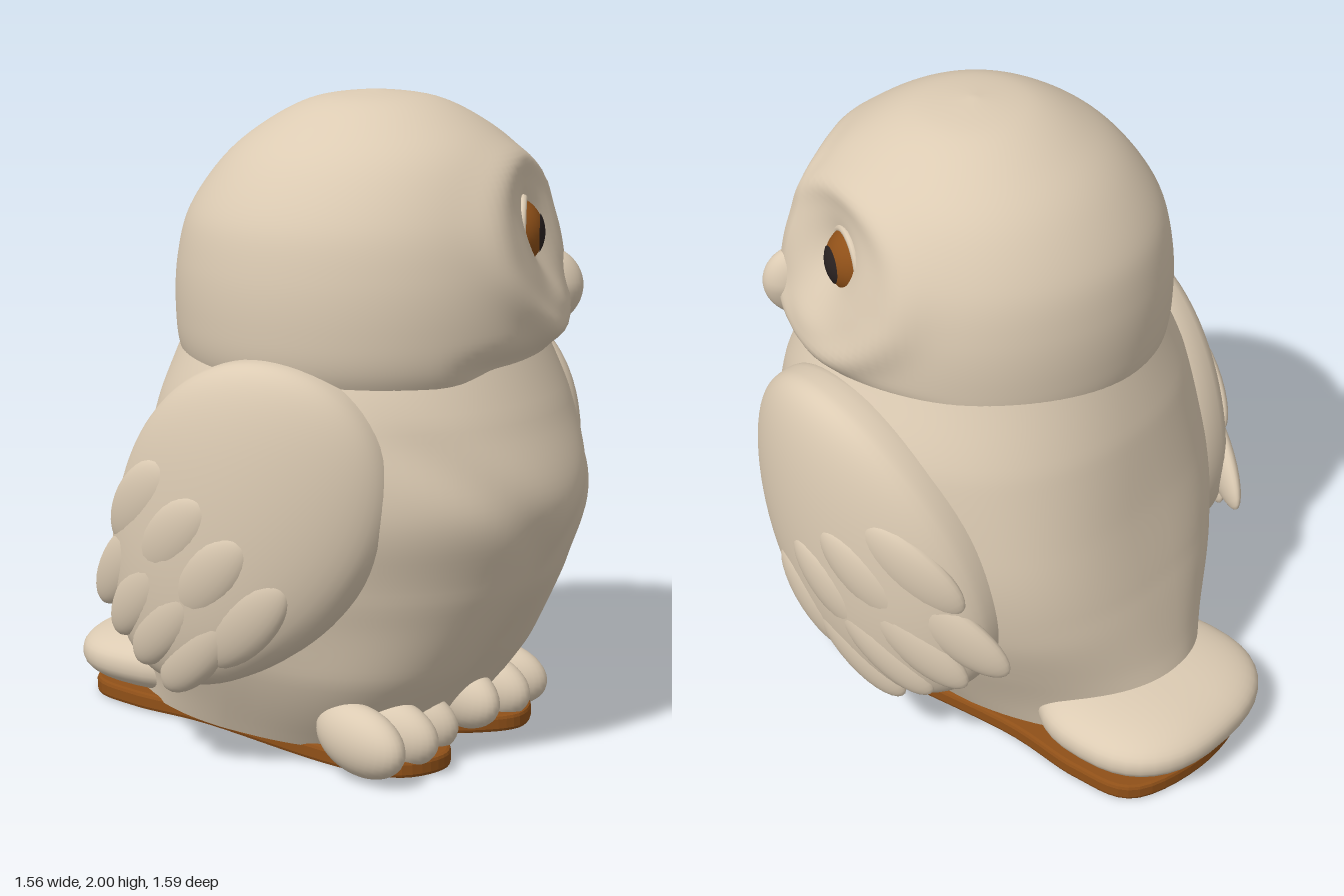
import * as THREE from 'three';
import { mergeVertices } from 'three/addons/utils/BufferGeometryUtils.js';

const mat = (name, color, side = THREE.FrontSide) => {
  const m = new THREE.MeshStandardMaterial({ color, side });
  m.name = name;
  return m;
};
const bell = (d, s) => Math.exp(-(d * d) / (s * s));
const smooth = THREE.MathUtils.smoothstep;
const power = (a, p) => Math.sign(a) * Math.abs(a) ** p;

// Weld a geometry, move every vertex by a rule, and give it smooth normals
function sculpt(geo, rule) {
  geo.deleteAttribute('uv');
  geo.deleteAttribute('normal');
  const g = mergeVertices(geo, 1e-5);
  const p = g.attributes.position, v = new THREE.Vector3();
  for (let i = 0; i < p.count; i++) {
    v.fromBufferAttribute(p, i);
    rule(v);
    p.setXYZ(i, v.x, v.y, v.z);
  }
  g.computeVertexNormals();
  return g;
}

export function createModel() {
  const cream = mat('cream', 0xdccbb3, THREE.DoubleSide);
  const amber = mat('amber brown', 0x8f5018);
  const dark = mat('pupil dark', 0x2a2221);
  const root = new THREE.Group();
  root.name = 'owl';
  const add = (parent, name, geo, material) => {
    const m = new THREE.Mesh(geo, material);
    m.name = name;
    parent.add(m);
    return m;
  };

  // The body faces diagonally; the head is turned towards +x
  const bodyGroup = new THREE.Group();
  bodyGroup.name = 'bodyGroup';
  bodyGroup.rotation.y = Math.PI / 4;
  root.add(bodyGroup);

  // Torso: each level has a front, a back and a half width.
  // It is squarer at the legs and behind the wings, and narrows into the tail.
  const levels = new THREE.CatmullRomCurve3([
    [0.4, -0.74, 0.38], [0.59, -0.67, 0.52], [0.73, -0.61, 0.6],
    [0.81, -0.55, 0.64], [0.73, -0.5, 0.63], [0.62, -0.42, 0.52],
  ].map((a) => new THREE.Vector3(...a)));
  const torso = sculpt(new THREE.CylinderGeometry(1, 1, 1, 96, 52, true), (v) => {
    const t = v.y + 0.5, l = levels.getPoint(t), y = 0.04 + 1.3 * t;
    const c = (l.x + l.y) / 2, b = (l.x - l.y) / 2;
    const front = smooth(v.z, 0.2, 0.9);
    const split = bell(v.x, 0.16) * front * (1 - smooth(y, 0.15, 0.7));
    const vee = bell(y - 0.62 - Math.abs(v.x) * 0.55, 0.09) * front;
    const swell = 1 - 0.09 * split - 0.018 * vee;
    const legs = 1 - smooth(y, 0.25, 0.7);
    const shoulders = bell(y - 0.7, 0.38);
    const p = 1 - (v.z > 0 ? 0.18 * legs : 0.25 * shoulders);
    const waist = 1 + 0.2 * v.z * (1 - smooth(y, 0.1, 0.5));
    v.set(power(v.x, p) * l.z * swell * waist - 0.03, y, c + power(v.z, p) * b * swell);
  });
  add(bodyGroup, 'torso', torso, cream);

  // Wings: broad rounded pads with rows of overlapping feathers, bent around the torso
  const thick = 0.17, long = 0.56, lean = 0.7;
  const bend = (v, s) => {
    v.applyAxisAngle(new THREE.Vector3(1, 0, 0), lean);
    v.x -= (v.z > 0 ? 0.5 : 0.4) * v.z * v.z;
    v.set(s * (v.x + 0.6) - 0.03, v.y + 0.75, v.z + 0.05 + 0.03 * s);
  };
  const widthAt = (y) => 0.41 * (1 + 0.1 * y);
  const outward = (s, geo) => {
    if (s < 0) geo.index.array.reverse();
    geo.computeVertexNormals();
    return geo;
  };
  const feathers = [];
  for (let i = 0; i < 4; i++) {
    const k = i / 3 * 2 - 1;
    feathers.push([-0.08 - 0.04 * Math.abs(k), k * 0.24, 0.2, 0.1]);
    feathers.push([-0.33 + 0.03 * k, k * 0.19, 0.21, 0.085]);
  }
  for (const s of [1, -1]) {
    const wing = new THREE.Group();
    wing.name = s > 0 ? 'leftWing' : 'rightWing';
    bodyGroup.add(wing);
    add(wing, 'wingPad', outward(s, sculpt(new THREE.SphereGeometry(1, 48, 40), (v) => {
      v.set(power(v.x, 0.65) * thick, v.y * long, v.z * widthAt(v.y));
      bend(v, s);
    })), cream);
    for (const [a, w, len, wide] of feathers) {
      const r = 1 - (a / long) ** 2 - (w / widthAt(a / long)) ** 2;
      const x = thick * Math.max(r, 0.05) ** 0.325 - 0.035;
      add(wing, 'feather', outward(s, sculpt(new THREE.SphereGeometry(1, 24, 16), (v) => {
        v.set(x + v.x * 0.045 + v.y * 0.02, a + v.y * len, w + v.z * wide + v.y * 0.02);
        bend(v, s);
      })), cream);
    }
  }

  // Tail: a soft squared pad, rising towards the back
  add(bodyGroup, 'tail', sculpt(new THREE.SphereGeometry(1, 40, 28), (v) => {
    const z = power(v.z, 0.8);
    v.set(0.02 + power(v.x, 0.8) * 0.36, 0.135 + power(v.y, 0.85) * (0.11 + 0.01 * z),
      -0.62 + z * 0.31);
  }), cream);

  // Feet with three toes each
  for (const s of [1, -1])
    for (const k of [-1, 0, 1]) {
      const toe = add(bodyGroup, 'toe', new THREE.SphereGeometry(1, 32, 20), cream);
      toe.position.set(s * 0.275 - 0.065 + k * 0.125, 0.12, 0.39 - Math.abs(k) * 0.02);
      toe.scale.set(0.08, 0.105, 0.17);
      toe.rotation.set(0.15, k * 0.2, 0);
    }

  // Base plate with a notch between the feet
  const half = [[0.1, 0.44], [0.23, 0.53], [0.38, 0.45], [0.4, 0.2], [0.33, -0.3],
    [0.33, -0.6], [0.27, -0.8]];
  const outline = [[-0.02, 0.28], ...half.map(([x, z]) => [x + z * -0.05, z]), [0.03, -0.87],
    ...half.slice().reverse().map(([x, z]) => [-x + z * -0.05, z])];
  const curve = new THREE.SplineCurve([...outline, outline[0]]
    .map(([x, z]) => new THREE.Vector2(x, -z)));
  const plate = new THREE.ExtrudeGeometry(new THREE.Shape(curve.getPoints(100).slice(0, -1)), {
    depth: 0.03, bevelEnabled: true, bevelThickness: 0.012, bevelSize: 0.012, bevelSegments: 2,
  });
  plate.rotateX(-Math.PI / 2).translate(0, 0.012, 0);
  add(bodyGroup, 'basePlate', plate, amber);

  // Head: a dome with eye hollows, face rims, nose ridge and cheeks
  const head = new THREE.Group();
  head.name = 'head';
  head.position.set(0.05, 0, 0.13);
  root.add(head);
  const profile = new THREE.SplineCurve([[0.5, 1.1], [0.565, 1.22], [0.582, 1.35], [0.575, 1.5],
    [0.538, 1.65], [0.45, 1.8], [0.335, 1.9], [0.185, 1.975], [0, 2]]
    .map((a) => new THREE.Vector2(...a)));
  const dome = sculpt(new THREE.LatheGeometry(profile.getPoints(64), 120), (v) => {
    const a = Math.abs(v.z), r = Math.max(Math.hypot(v.x, v.z), 0.01);
    const ring = Math.hypot((a - 0.21) / 0.28, (v.y - 1.55) / 0.26);
    const d = -0.085 * bell(Math.hypot(a - 0.22, v.y - 1.59), 0.14)
      + 0.045 * bell(v.z, 0.09) * bell(v.y - 1.55, 0.22)
      + 0.022 * bell(ring - 1, 0.16)
      + 0.025 * bell(a - 0.17, 0.15) * bell(v.y - 1.36, 0.07)
      - 0.03 * bell(v.y - 1.22, 0.05);
    const k = 1 + d * smooth(v.x, 0.08, 0.32) / r;
    v.x = v.x * k + 0.025 * smooth(v.y, 1.6, 1.9);
    v.z *= k;
  });
  add(head, 'dome', dome, cream);

  // Beak: narrow at the top, hooked at the tip
  add(head, 'beak', sculpt(new THREE.SphereGeometry(1, 32, 24), (v) => {
    const w = v.y < 0 ? 1 + 0.35 * v.y : 1;
    v.set(0.595 + v.x * 0.085 - v.y * v.y * 0.02, 1.385 + v.y * 0.12, v.z * 0.06 * w);
  }), cream);

  // Eyes: amber ball, dark pupil cap and a thin raised lid
  for (const s of [1, -1]) {
    const eye = new THREE.Group();
    eye.name = s > 0 ? 'rightEye' : 'leftEye';
    eye.position.set(0.375, 1.587, 0.006 + s * 0.21);
    eye.rotation.y = -s * 0.3;
    head.add(eye);
    add(eye, 'iris', new THREE.SphereGeometry(0.112, 32, 24), amber);
    const pupil = add(eye, 'pupil',
      new THREE.SphereGeometry(0.115, 32, 8, 0, Math.PI * 2, 0, 0.53), dark);
    pupil.rotation.z = -Math.PI / 2;
    const lid = add(eye, 'eyelid', new THREE.TorusGeometry(0.1, 0.013, 10, 40), cream);
    lid.rotation.y = Math.PI / 2;
    lid.position.x = 0.048;
  }
  return root;
}
